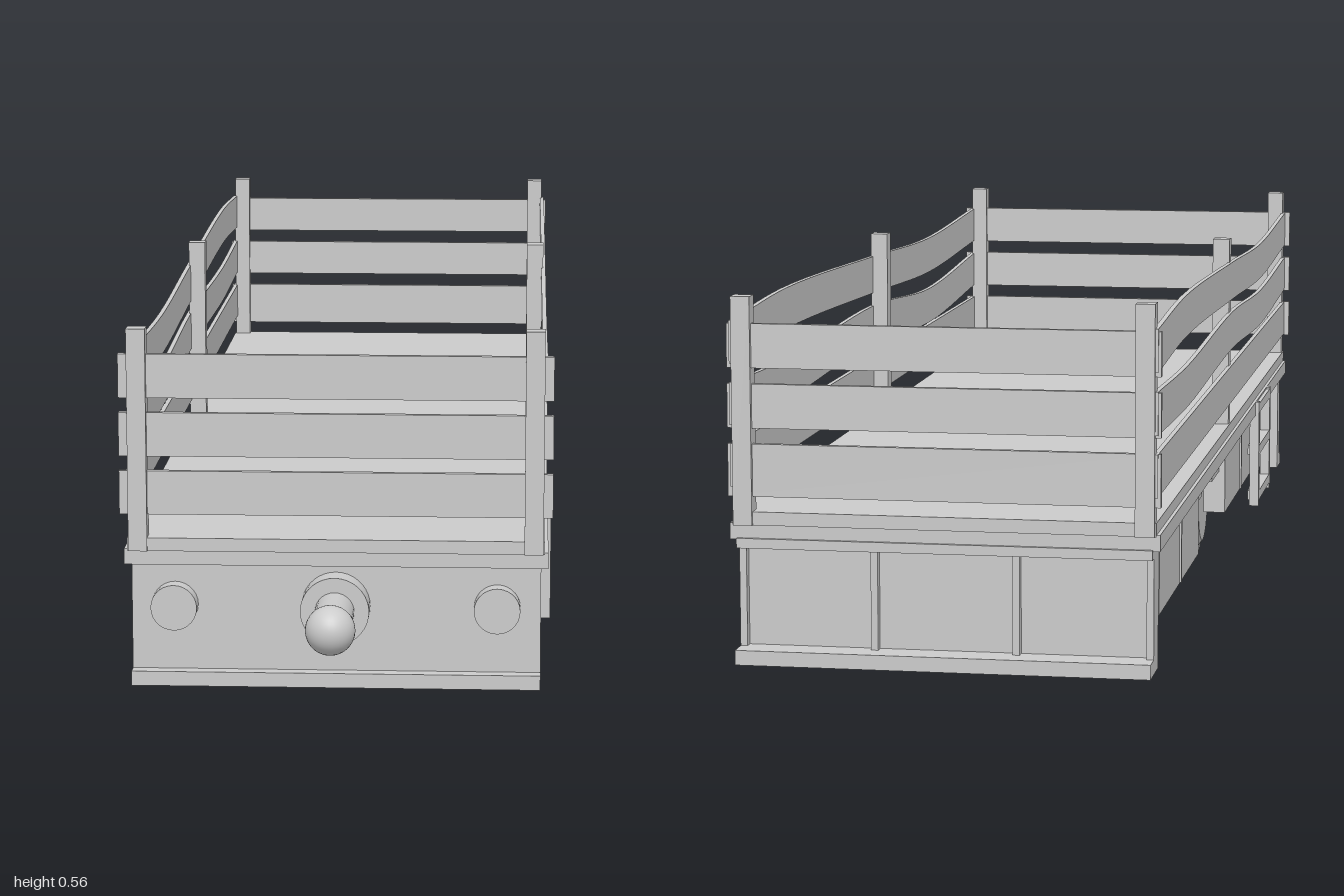
import * as THREE from 'three';

const mat = new THREE.MeshStandardMaterial({ color: 0xcccccc, side: THREE.DoubleSide });

export function createModel() {
  const root = new THREE.Group();

  const add = (name, geo, parent = root) => {
    const m = new THREE.Mesh(geo, mat);
    m.name = name;
    parent.add(m);
    return m;
  };
  // box given by its min and max on each axis
  const box = (name, x0, x1, y0, y1, z0, z1, parent = root) => {
    const m = add(name, new THREE.BoxGeometry(Math.abs(x1 - x0), y1 - y0, z1 - z0), parent);
    m.position.set((x0 + x1) / 2, (y0 + y1) / 2, (z0 + z1) / 2);
    return m;
  };
  // solid of revolution lying along z
  const latheZ = (name, pts, x, y, z, seg = 32) => {
    const g = new THREE.LatheGeometry(pts.map(p => new THREE.Vector2(...p)), seg);
    g.rotateX(Math.PI / 2);
    const m = add(name, g);
    m.position.set(x, y, z);
    return m;
  };

  // deck and underframe
  box('deck', -0.297, 0.297, 0.243, 0.262, -0.985, 0.835);
  box('deckFrame', -0.302, 0.302, 0.222, 0.245, -0.98, 0.83);
  box('chassis', -0.2, 0.2, 0.085, 0.223, -0.925, 0.79);

  // front headstock with lip, round pads and coupling
  box('frontHeadstock', -0.292, 0.292, 0.05, 0.245, 0.785, 0.822);
  box('frontLip', -0.292, 0.292, 0.047, 0.068, 0.785, 0.842);
  for (const s of [-1, 1]) {
    const pad = add('bufferPad', new THREE.CylinderGeometry(0.033, 0.033, 0.03, 28));
    pad.rotation.x = Math.PI / 2;
    pad.position.set(s * 0.23, 0.163, 0.833);
  }
  const collar = add('couplingCollar', new THREE.CylinderGeometry(0.049, 0.049, 0.04, 36));
  collar.rotation.x = Math.PI / 2;
  collar.position.set(0, 0.163, 0.84);
  const shaft = add('couplingShaft', new THREE.CylinderGeometry(0.028, 0.028, 0.11, 28));
  shaft.rotation.x = Math.PI / 2;
  shaft.position.set(0, 0.163, 0.91);
  const nose = add('couplingNose', new THREE.SphereGeometry(0.035, 32, 20));
  nose.position.set(0, 0.163, 0.965);

  // rear headstock with ribs and lip
  box('rearHeadstock', -0.292, 0.292, 0.05, 0.225, -0.955, -0.922);
  box('rearLip', -0.292, 0.292, 0.047, 0.068, -1, -0.922);
  box('rearTopFlange', -0.292, 0.292, 0.21, 0.224, -0.985, -0.94);
  for (const x of [-0.287, -0.1, 0.1, 0.287]) box('rearRib', x - 0.005, x + 0.005, 0.06, 0.22, -0.968, -0.95);

  // wheels: flanged profile turned about x, from radius/width pairs
  const wheelPts = [[0, 0.163], [0.095, 0.163], [0.095, 0.163], [0.095, 0.178], [0.095, 0.178],
    [0.086, 0.178], [0.086, 0.178], [0.086, 0.208], [0.086, 0.208], [0.095, 0.208], [0.095, 0.208],
    [0.095, 0.22], [0.095, 0.22], [0.078, 0.22], [0.078, 0.22], [0.064, 0.23], [0.064, 0.23], [0, 0.23]];
  const wheelGeo = new THREE.LatheGeometry(wheelPts.map(p => new THREE.Vector2(...p)), 40);
  wheelGeo.rotateZ(-Math.PI / 2);
  for (const z of [0.575, 0.125, -0.27, -0.72]) {
    for (const s of [-1, 1]) {
      const w = add('wheel', wheelGeo);
      w.position.set(0, 0.095, z);
      if (s < 0) w.rotation.y = Math.PI;
    }
  }

  for (const s of [-1, 1]) {
    // bogie side frames: long beam with a deep panel between the wheels
    for (const [z0, z1, p0, p1] of [[0.01, 0.695, 0.115, 0.585], [-0.83, -0.125, -0.73, -0.255]]) {
      box('bogieBeam', s * 0.2, s * 0.258, 0.15, 0.223, z0, z1);
      box('bogiePanel', s * 0.232, s * 0.268, 0.08, 0.223, p0, p1);
      const mid = (p0 + p1) / 2;
      box('panelSeam', s * 0.262, s * 0.271, 0.082, 0.222, mid - 0.004, mid + 0.004);
    }
    // side step
    const step = new THREE.Group();
    step.name = 'sideStep';
    root.add(step);
    for (const z of [0.29, 0.475]) box('stepUpright', s * 0.292, s * 0.308, 0.063, 0.245, z - 0.008, z + 0.008, step);
    for (const y of [0.08, 0.16, 0.234]) box('stepRung', s * 0.288, s * 0.308, y - 0.008, y + 0.008, 0.29, 0.475, step);

    // stake posts
    for (const z of [0.825, -0.072, -0.977]) box('post', s * 0.268, s * 0.295, 0.243, 0.563, z - 0.013, z + 0.013);

    // side planks, the upper two warped along their length
    const warps = [
      [[0.83, 0], [0.38, 0], [-0.07, 0], [-0.65, 0], [-0.985, 0]],
      [[0.83, 0], [0.38, s > 0 ? -0.02 : -0.012], [-0.07, 0.003], [-0.65, -0.006], [-0.985, 0.002]],
      [[0.83, 0], [0.38, -0.014], [-0.07, 0], [-0.68, 0.015], [-0.985, 0.004]],
    ];
    warps.forEach((w, i) => {
      const curve = new THREE.CatmullRomCurve3(w.map(([z, y]) => new THREE.Vector3(0, y, z)));
      const n = 28, y0 = 0.297 + 0.084 * i, y1 = y0 + 0.06;
      const pts = curve.getPoints(n);
      const outline = new THREE.Shape([
        ...pts.map(p => new THREE.Vector2(-p.z, y0 + p.y)),
        ...pts.slice().reverse().map(p => new THREE.Vector2(-p.z, y1 + p.y)),
      ]);
      const g = new THREE.ExtrudeGeometry(outline, { depth: 0.007, bevelEnabled: false });
      g.rotateY(Math.PI / 2);
      const m = add('sidePlank', g);
      m.position.x = s > 0 ? 0.292 : -0.299;
    });
  }

  // end planks
  for (let i = 0; i < 3; i++) {
    const y = 0.295 + 0.084 * i;
    box('frontPlank', -0.308, 0.308, y, y + 0.063, 0.82, 0.829);
    box('rearPlank', -0.303, 0.303, y - (i === 0 ? 0.012 : 0), y + 0.062, -0.983, -0.974);
  }

  return root;
}
